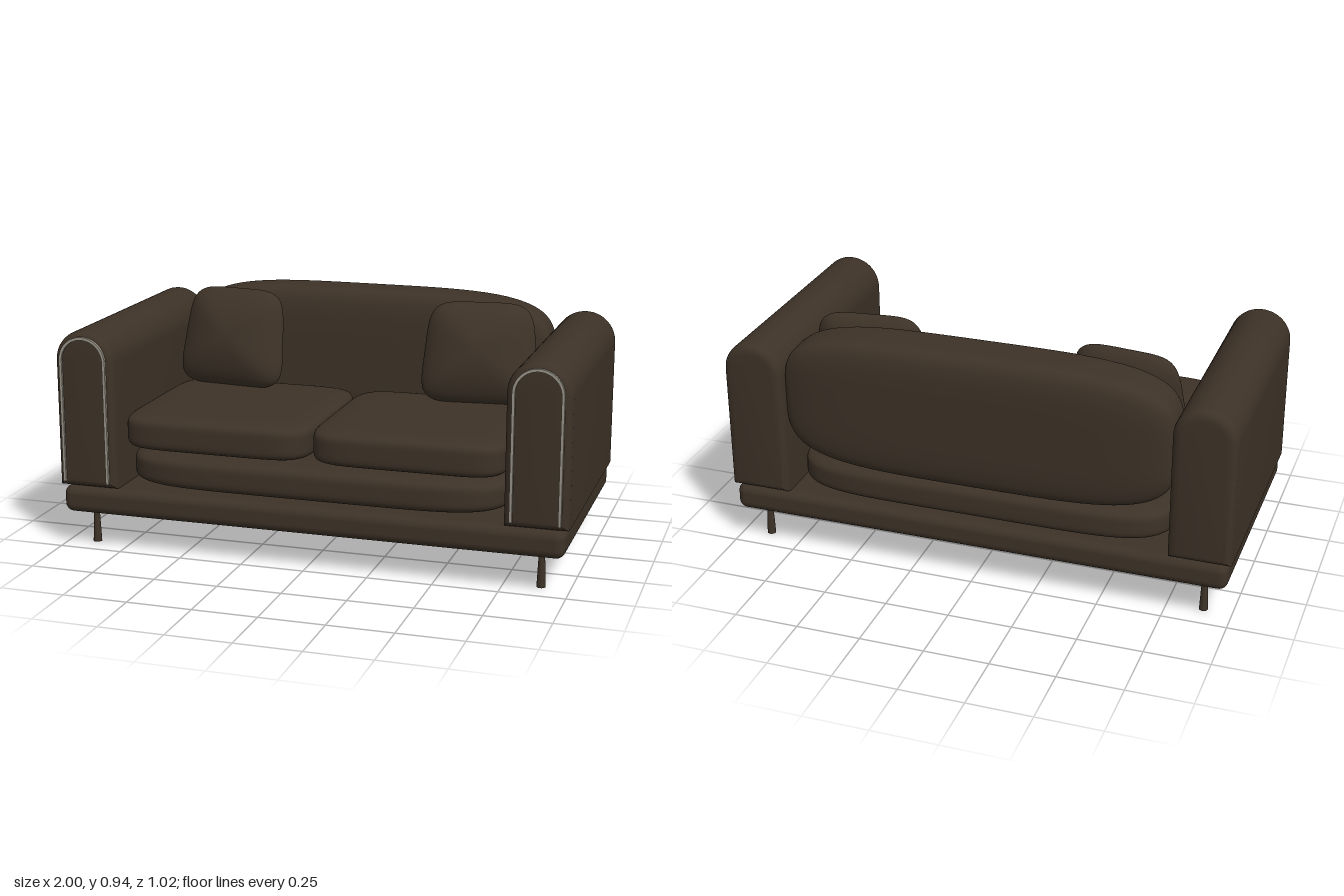
import * as THREE from 'three';
import { mergeVertices, toCreasedNormals } from 'three/addons/utils/BufferGeometryUtils.js';
import { RoundedBoxGeometry } from 'three/addons/geometries/RoundedBoxGeometry.js';

// Soft cushion: a subdivided cube projected onto a superellipsoid.
// n rounds the outline seen along the axis, m rounds the edge towards it.
function cushionGeometry(size, axis, n, m) {
  let geo = new THREE.BoxGeometry(2, 2, 2, 28, 28, 28);
  geo.deleteAttribute('normal');
  geo.deleteAttribute('uv');
  geo = mergeVertices(geo);
  const p = geo.attributes.position;
  for (let i = 0; i < p.count; i++) {
    const v = new THREE.Vector3().fromBufferAttribute(p, i);
    const a = Math.abs(v.x);
    const b = Math.abs(axis === 'y' ? v.z : v.y);
    const c = Math.abs(axis === 'y' ? v.y : v.z);
    const f = Math.pow(Math.pow(a ** n + b ** n, m / n) + c ** m, 1 / m);
    v.multiplyScalar(0.5 / f);
    p.setXYZ(i, v.x * size[0], v.y * size[1], v.z * size[2]);
  }
  geo.computeVertexNormals();
  return geo;
}

// Upright outline with a semicircular top
function archPath(path, r, bottom, spring) {
  path.moveTo(-r, bottom);
  path.lineTo(r, bottom);
  path.lineTo(r, spring);
  path.absarc(0, spring, r, 0, Math.PI, false);
  path.lineTo(-r, bottom);
  return path;
}

export function createModel() {
  const group = new THREE.Group();
  group.name = 'sofa';
  const fabric = new THREE.MeshStandardMaterial({ color: 0x3d3227 });
  fabric.name = 'dark brown fabric';
  const piping = new THREE.MeshStandardMaterial({ color: 0x9a9488 });
  piping.name = 'pale grey piping';

  function add(name, geo, mat, x, y, z) {
    const mesh = new THREE.Mesh(geo, mat);
    mesh.name = name;
    mesh.position.set(x, y, z);
    group.add(mesh);
    return mesh;
  }

  // Plinth and seat deck
  add('base', new RoundedBoxGeometry(1.975, 0.108, 0.985, 5, 0.035), fabric, 0, 0.192, 0.003);
  add('seatDeck', cushionGeometry([1.52, 0.155, 0.95], 'y', 6, 5), fabric, 0, 0.3225, 0);

  // Backrest, leaning slightly
  const back = add('backrest', cushionGeometry([1.54, 0.55, 0.25], 'z', 4, 5), fabric, 0, 0.66, -0.381);
  back.rotation.x = -0.02;

  // Arm: arched section with rounded front and back edges
  const bevel = 0.035;
  const arm = toCreasedNormals(new THREE.ExtrudeGeometry(
    archPath(new THREE.Shape(), 0.12 - bevel, 0.247 + bevel, 0.745),
    { depth: 1 - 2 * bevel, bevelSize: bevel, bevelThickness: bevel, bevelSegments: 5, curveSegments: 24 }
  ), 0.6);
  arm.translate(0, 0, -0.5 + bevel);

  // Piping: narrow open arch on the arm front
  const strip = new THREE.Shape();
  strip.moveTo(0.095, 0.27);
  strip.lineTo(0.095, 0.75);
  strip.absarc(0, 0.75, 0.095, 0, Math.PI, false);
  strip.lineTo(-0.095, 0.27);
  strip.lineTo(-0.084, 0.27);
  strip.lineTo(-0.084, 0.75);
  strip.absarc(0, 0.75, 0.084, Math.PI, 0, true);
  strip.lineTo(0.084, 0.27);
  const trim = toCreasedNormals(new THREE.ExtrudeGeometry(strip,
    { depth: 0.012, bevelEnabled: false, curveSegments: 24 }), 0.6);

  const seat = cushionGeometry([0.755, 0.147, 0.74], 'y', 7, 6);

  // Throw pillow: lens-shaped, wider towards the bottom
  const pillow = cushionGeometry([0.44, 0.4, 0.19], 'z', 5, 1.7);
  const pp = pillow.attributes.position;
  for (let i = 0; i < pp.count; i++) pp.setX(i, pp.getX(i) * (1 - 0.4 * pp.getY(i)));
  pillow.computeVertexNormals();

  const leg = new THREE.CylinderGeometry(0.011, 0.017, 0.145, 20);

  for (const [side, s] of [['left', 1], ['right', -1]]) {
    add(side + 'Arm', arm, fabric, s * 0.88, 0, 0);
    add(side + 'ArmPiping', trim, piping, s * 0.88, 0, 0.497);
    add(side + 'SeatCushion', seat, fabric, s * 0.378, 0.4715, 0.108);
    const cushion = add(side + 'Pillow', pillow, fabric, s * 0.515, 0.733, -0.17);
    cushion.rotation.set(-0.25, s * 0.12, s * 0.03);
    add(side + 'FrontLeg', leg, fabric, s * 0.89, 0.0725, 0.4);
    add(side + 'BackLeg', leg, fabric, s * 0.89, 0.0725, -0.4);
  }
  return group;
}
